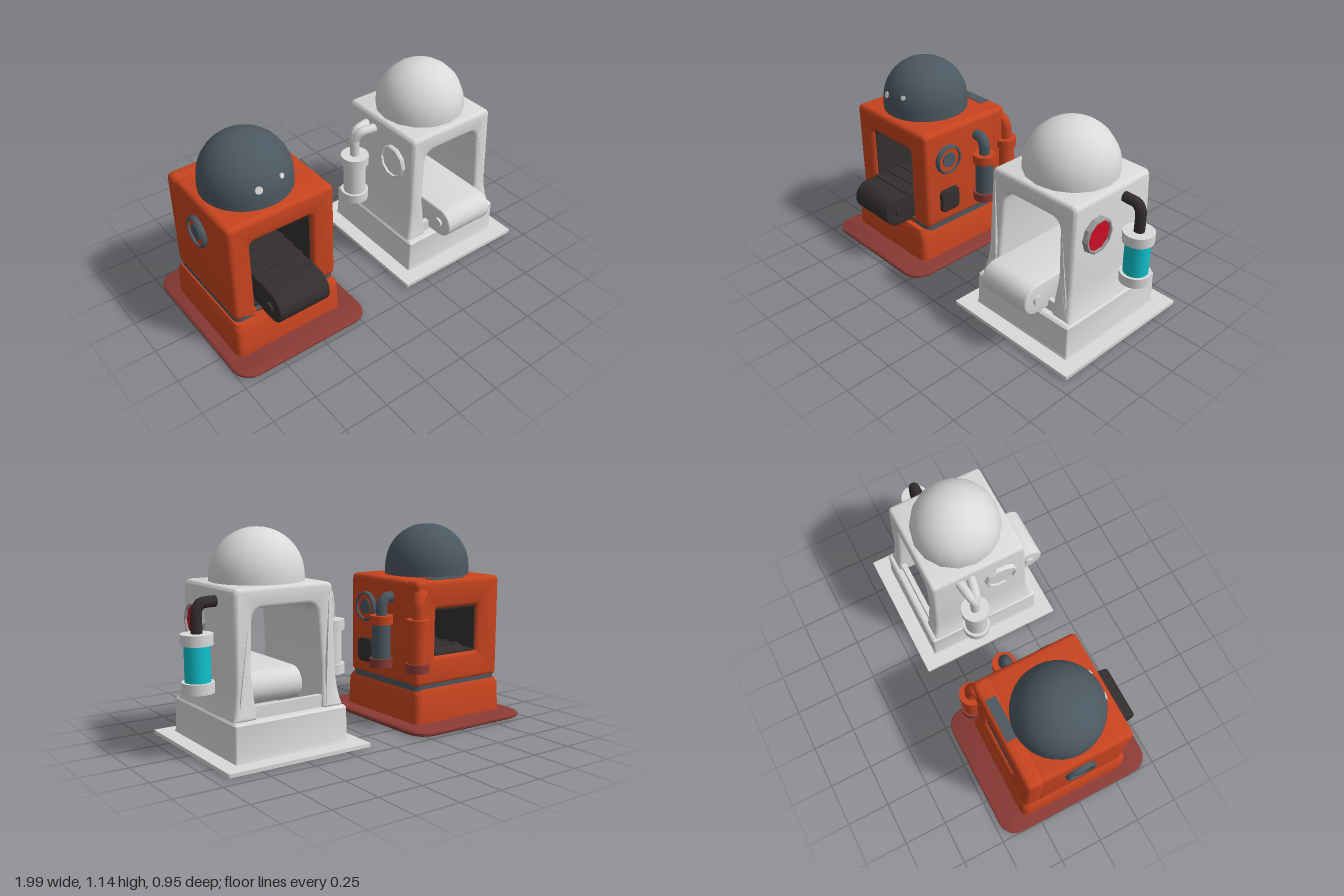
import * as THREE from 'three';
import { toCreasedNormals } from 'three/addons/utils/BufferGeometryUtils.js';

const mat = (name, color, side = THREE.FrontSide) => {
  const m = new THREE.MeshStandardMaterial({ color, side });
  m.name = name;
  return m;
};
const M = {
  orange: mat('orange paint', 0xc8441f),
  maroon: mat('maroon rubber', 0x8a3a35),
  slate: mat('slate grey', 0x4c5861),
  charcoal: mat('charcoal', 0x342f2f, THREE.DoubleSide),
  white: mat('pale shell', 0xdadada, THREE.DoubleSide),
  rim: mat('grey rim', 0x9a9a9a),
  red: mat('red button', 0xcc0f24),
  cyan: mat('cyan fluid', 0x10c3cf),
};

function add(parent, name, geo, material, x = 0, y = 0, z = 0) {
  const mesh = new THREE.Mesh(geo, material);
  mesh.name = name;
  mesh.position.set(x, y, z);
  parent.add(mesh);
  return mesh;
}
const crease = (g, a = 0.6) => toCreasedNormals(g, a);
const box = (w, h, d) => new THREE.BoxGeometry(w, h, d);

// Skin through rounded rectangles [halfX, halfZ, y, cornerRadius]
function loft(sections, capped, n = 4) {
  const pos = [], idx = [], per = 4 * (n + 1);
  for (const [hx, hz, y, r] of sections)
    for (let c = 0; c < 4; c++)
      for (let i = 0; i <= n; i++) {
        const a = (c + i / n) * Math.PI / 2;
        const sx = c === 0 || c === 3 ? 1 : -1, sz = c < 2 ? 1 : -1;
        pos.push(sx * (hx - r) + r * Math.cos(a), y, sz * (hz - r) + r * Math.sin(a));
      }
  for (let s = 0; s < sections.length - 1; s++)
    for (let i = 0; i < per; i++) {
      const a = s * per + i, b = s * per + (i + 1) % per;
      idx.push(a, a + per, b, b, a + per, b + per);
    }
  if (capped) {
    const top = (sections.length - 1) * per;
    for (let i = 1; i < per - 1; i++) idx.push(0, i, i + 1, top, top + i + 1, top + i);
  }
  const g = new THREE.BufferGeometry();
  g.setAttribute('position', new THREE.Float32BufferAttribute(pos, 3));
  g.setIndex(idx);
  return crease(g);
}

// Rectangle with rounded corners as a shape or hole
function rounded(x0, y0, x1, y1, r, T = THREE.Shape) {
  const s = new T();
  s.moveTo(x0 + r, y0);
  s.lineTo(x1 - r, y0).quadraticCurveTo(x1, y0, x1, y0 + r);
  s.lineTo(x1, y1 - r).quadraticCurveTo(x1, y1, x1 - r, y1);
  s.lineTo(x0 + r, y1).quadraticCurveTo(x0, y1, x0, y1 - r);
  s.lineTo(x0, y0 + r).quadraticCurveTo(x0, y0, x0 + r, y0);
  return s;
}
// Extrusion from z0 to z1 with softened edges
function slab(shape, z0, z1, bevel = 0) {
  return new THREE.ExtrudeGeometry(shape, {
    depth: z1 - z0 - 2 * bevel, bevelEnabled: bevel > 0, bevelThickness: bevel,
    bevelSize: bevel, bevelOffset: -bevel, bevelSegments: 3, curveSegments: 6,
  }).translate(0, 0, z0 + bevel);
}

// Dome on a short drum, with an optional flattened crown
function dome(r, base, centre, crown, segments) {
  const pts = [new THREE.Vector2(r, base)];
  for (let i = 0; i <= 10; i++) {
    const a = i / 10 * Math.PI / 2;
    pts.push(new THREE.Vector2(i === 10 ? 0 : r * Math.cos(a), Math.min(centre + r * Math.sin(a), crown)));
  }
  return crease(new THREE.LatheGeometry(pts, segments), 0.8);
}

function pipe(parent, points, r, material) {
  const path = new THREE.CatmullRomCurve3(points.map(p => new THREE.Vector3(...p)), false, 'catmullrom', 0.3);
  add(parent, 'pipe', new THREE.TubeGeometry(path, 20, r, 10), material);
}

// Fluid tank with a cap at each end
function tank(parent, x, z, y0, y1, r, capH, top, bottom, body) {
  const g = new THREE.Group();
  g.name = 'tank';
  parent.add(g);
  const cap = () => new THREE.CylinderGeometry(r, r, capH, 20);
  add(g, 'topCap', cap(), top, x, y1 - capH / 2, z);
  add(g, 'bottomCap', cap(), bottom, x, y0 + capH / 2, z);
  add(g, 'tankBody', new THREE.CylinderGeometry(r * 0.8, r * 0.8, y1 - y0 - capH, 20), body, x, (y0 + y1) / 2, z);
}

// Round gauge facing along x
function gauge(parent, name, side, x, y, z, r, ring, face, sides) {
  const g = new THREE.Group();
  g.name = name;
  g.position.set(x, y, z);
  g.rotation.z = -side * Math.PI / 2;
  parent.add(g);
  add(g, 'gaugeRim', crease(new THREE.LatheGeometry([[r, -0.03], [r, 0.012], [r * 0.93, 0.022], [r * 0.84, 0.022], [r * 0.82, 0.008]]
    .map(p => new THREE.Vector2(...p)), sides)), ring);
  add(g, 'gaugeFace', new THREE.CylinderGeometry(r * 0.84, r * 0.84, 0.04, sides), face, 0, -0.01);
}

// Belt with rounded ends, running along z
function conveyor(parent, w, r, zBack, zFront, y, material) {
  const s = new THREE.Shape();
  s.moveTo(zBack, -r);
  s.lineTo(zFront, -r);
  s.absarc(zFront, 0, r, -Math.PI / 2, Math.PI / 2, false);
  s.lineTo(zBack, r);
  s.absarc(zBack, 0, r, Math.PI / 2, Math.PI * 1.5, false);
  const geo = crease(slab(s, -w / 2, w / 2, 0.008).rotateY(-Math.PI / 2));
  add(parent, 'conveyorBelt', geo, material, 0, y);
  add(parent, 'rollerAxle', crease(new THREE.CylinderGeometry(0.028, 0.028, w + 0.03, 12).rotateZ(Math.PI / 2)), material, 0, y, zFront);
}

function orangeMachine() {
  const g = new THREE.Group();
  g.name = 'orangeMachine';
  g.position.x = -0.6;
  add(g, 'footPlate', loft([[0.395, 0.465, 0, 0.1], [0.405, 0.475, 0.008, 0.1], [0.405, 0.475, 0.02, 0.1], [0.395, 0.465, 0.028, 0.1]], true), M.maroon, 0.005);
  const patch = new THREE.Shape([[0.4, -0.38], [0.4, 0.36], [0.3, 0.47]].map(p => new THREE.Vector2(...p)));
  add(g, 'undersidePatch', slab(patch, 0, 0.002).rotateX(-Math.PI / 2), M.charcoal, 0, -0.001);
  add(g, 'base', loft([[0.325, 0.335, 0.025, 0.04], [0.32, 0.33, 0.19, 0.04], [0.305, 0.315, 0.222, 0.04]], true), M.orange, -0.01);
  add(g, 'baseSeam', loft([[0.307, 0.3, 0.215, 0.04], [0.307, 0.3, 0.25, 0.04]], true), M.slate, 0, 0, -0.015);

  // Cabinet with a deep front opening and a small rear window
  const front = rounded(-0.312, 0.235, 0.312, 0.83, 0.035);
  front.holes.push(rounded(-0.19, 0.245, 0.175, 0.7, 0.03, THREE.Path));
  add(g, 'cabinet', crease(slab(front, -0.24, 0.29, 0.025)), M.orange);
  const rear = rounded(-0.312, 0.235, 0.312, 0.83, 0.035);
  rear.holes.push(rounded(-0.14, 0.4, 0.17, 0.665, 0.01, THREE.Path));
  add(g, 'rearWall', crease(slab(rear, -0.32, -0.21, 0.025)), M.orange);
  const liner = rounded(-0.189, 0.246, 0.174, 0.699, 0.03);
  liner.holes.push(rounded(-0.183, 0.252, 0.168, 0.693, 0.03, THREE.Path));
  add(g, 'openingLiner', slab(liner, -0.209, 0.262), M.charcoal);
  const panel = rounded(-0.189, 0.246, 0.174, 0.699, 0.03);
  panel.holes.push(rounded(-0.14, 0.4, 0.165, 0.66, 0.01, THREE.Path));
  add(g, 'innerRearPanel', slab(panel, -0.209, -0.202), M.charcoal);
  const frame = rounded(-0.142, 0.398, 0.172, 0.667, 0.01);
  frame.holes.push(rounded(-0.135, 0.407, 0.163, 0.658, 0.01, THREE.Path));
  add(g, 'windowLiner', slab(frame, -0.3, -0.21), M.charcoal);
  add(g, 'roofPatch', box(0.24, 0.006, 0.06), M.slate, 0.07, 0.831, -0.27);

  add(g, 'dome', dome(0.246, 0.82, 0.88, 1.122, 32), M.slate, -0.028);
  for (const [x, y, r] of [[-0.06, 0.06, 0.02], [0.078, 0.08, 0.014]]) {
    const dir = new THREE.Vector3(x, y, Math.sqrt(0.246 ** 2 - x * x - y * y)).normalize();
    const spot = add(g, 'domeLight', new THREE.CylinderGeometry(r, r, 0.008, 12), M.white,
      -0.028 + dir.x * 0.246, 0.88 + dir.y * 0.246, dir.z * 0.246);
    spot.quaternion.setFromUnitVectors(new THREE.Vector3(0, 1, 0), dir);
  }

  conveyor(g, 0.305, 0.09, -0.17, 0.375, 0.325, M.charcoal);
  for (let i = 0; i < 6; i++) add(g, 'beltSlat', box(0.3, 0.012, 0.03), M.charcoal, 0, 0.417, -0.15 + i * 0.09);

  tank(g, 0.38, -0.09, 0.33, 0.625, 0.066, 0.05, M.orange, M.maroon, M.slate);
  pipe(g, [[0.38, 0.6, -0.09], [0.38, 0.68, -0.09], [0.355, 0.72, -0.09], [0.29, 0.725, -0.09]], 0.032, M.slate);
  tank(g, 0.31, -0.325, 0.33, 0.625, 0.066, 0.05, M.orange, M.maroon, M.orange);
  pipe(g, [[0.31, 0.6, -0.325], [0.31, 0.7, -0.325], [0.285, 0.75, -0.31], [0.22, 0.755, -0.27]], 0.035, M.orange);

  for (const [side, z] of [[1, 0.13], [-1, -0.01]]) {
    gauge(g, 'sideGauge', side, side * 0.315, 0.645, z, 0.088, M.slate, M.orange, 20);
    add(g, 'gaugeCentre', crease(new THREE.CylinderGeometry(0.045, 0.045, 0.02, 16).rotateZ(Math.PI / 2)), M.slate, side * 0.322, 0.645, z);
  }
  add(g, 'sideVent', crease(slab(rounded(-0.065, -0.07, 0.065, 0.07, 0.03), 0, 0.03, 0.008).rotateY(Math.PI / 2)), M.charcoal, 0.305, 0.385, 0.13);
  return g;
}

function whiteMachine() {
  const g = new THREE.Group();
  g.name = 'whiteMachine';
  g.position.x = 0.525;
  // Hollow skirt, open underneath
  add(g, 'skirt', loft([[0.412, 0.437, 0.008, 0.004], [0.412, 0.437, 0.028, 0.004], [0.33, 0.352, 0.03, 0.008],
    [0.326, 0.347, 0.05, 0.01], [0.325, 0.346, 0.215, 0.015], [0.318, 0.335, 0.225, 0.015], [0.295, 0.29, 0.228, 0.015]], false), M.white);

  // Arched shell, gently flared towards its foot
  const s = new THREE.Shape();
  s.moveTo(0.318, 0.222);
  s.quadraticCurveTo(0.292, 0.3, 0.29, 0.42);
  s.lineTo(0.282, 0.835);
  s.quadraticCurveTo(0.28, 0.863, 0.25, 0.865);
  s.lineTo(-0.25, 0.865);
  s.quadraticCurveTo(-0.28, 0.863, -0.282, 0.835);
  s.lineTo(-0.29, 0.42);
  s.quadraticCurveTo(-0.292, 0.3, -0.318, 0.222);
  s.lineTo(-0.19, 0.222);
  s.lineTo(-0.203, 0.45);
  s.lineTo(-0.19, 0.7);
  s.quadraticCurveTo(-0.185, 0.76, -0.13, 0.762);
  s.lineTo(0.13, 0.762);
  s.quadraticCurveTo(0.185, 0.76, 0.19, 0.7);
  s.lineTo(0.203, 0.45);
  s.lineTo(0.19, 0.222);
  const shell = slab(s, -0.28, 0.28, 0.02);
  const p = shell.attributes.position;
  for (let i = 0; i < p.count; i++) {
    const y = p.getY(i), flare = Math.max(0, (0.42 - y) / 0.2);
    p.setZ(i, p.getZ(i) * (1.06 - 0.06 * (y - 0.42) / 0.44 + 0.08 * flare * flare));
  }
  add(g, 'shell', crease(shell, 0.7), M.white);
  for (const z of [-0.29, 0.29]) add(g, 'openingSill', box(0.42, 0.07, 0.03), M.white, 0, 0.255, z);

  add(g, 'dome', dome(0.25, 0.855, 0.89, 2, 16), M.white);
  conveyor(g, 0.31, 0.086, -0.1, 0.387, 0.332, M.white);

  gauge(g, 'redButton', 1, 0.292, 0.662, 0.127, 0.1, M.rim, M.red, 10);
  gauge(g, 'plainButton', -1, -0.285, 0.662, 0.127, 0.1, M.white, M.white, 10);

  tank(g, 0.387, -0.082, 0.342, 0.636, 0.082, 0.055, M.white, M.white, M.cyan);
  pipe(g, [[0.387, 0.61, -0.082], [0.387, 0.74, -0.082], [0.36, 0.783, -0.082], [0.27, 0.788, -0.082]], 0.029, M.charcoal);
  tank(g, -0.393, -0.087, 0.342, 0.636, 0.08, 0.055, M.white, M.white, M.white);
  for (const z of [-0.12, -0.05])
    pipe(g, [[-0.393, 0.61, -0.087], [-0.393, 0.73, -0.087], [-0.365, 0.783, (z - 0.087) / 2], [-0.27, 0.788, z]], 0.027, M.white);
  return g;
}

export function createModel() {
  const model = new THREE.Group();
  model.name = 'twoConveyorMachines';
  model.add(orangeMachine(), whiteMachine());
  return model;
}
